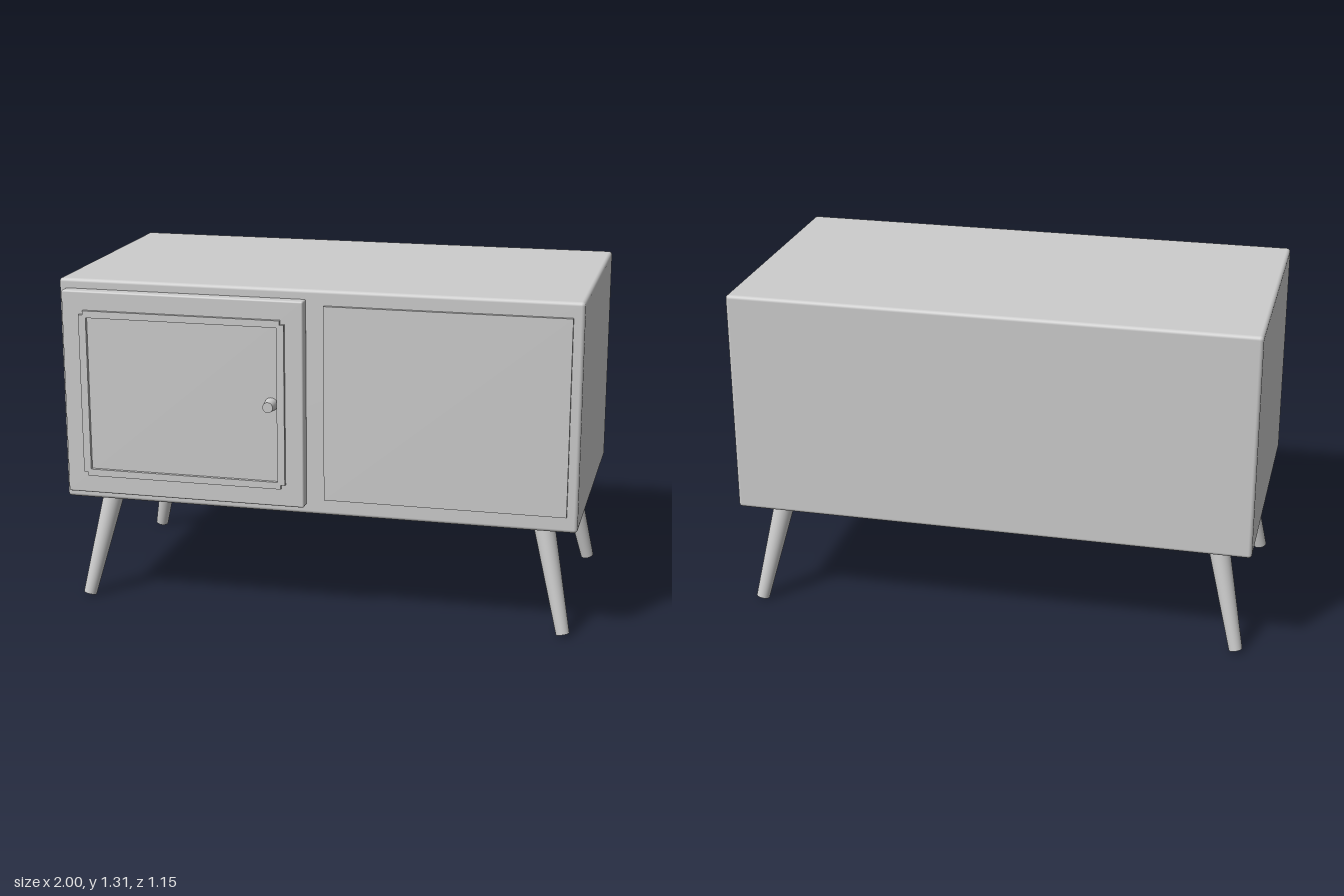
import * as THREE from 'three';
import { RoundedBoxGeometry } from 'three/addons/geometries/RoundedBoxGeometry.js';

export function createModel() {
  const group = new THREE.Group();
  group.name = 'cabinet';
  const grey = new THREE.MeshStandardMaterial({ color: 0xcccccc });
  grey.name = 'plainGrey';

  const add = (name, geometry) => {
    const mesh = new THREE.Mesh(geometry, grey);
    mesh.name = name;
    group.add(mesh);
    return mesh;
  };

  // Rounded box given by its lower and upper corners
  const box = (name, [x0, y0, z0], [x1, y1, z1], radius) =>
    add(name, new RoundedBoxGeometry(x1 - x0, y1 - y0, z1 - z0, 3, radius))
      .position.set((x0 + x1) / 2, (y0 + y1) / 2, (z0 + z1) / 2);

  box('body', [-1, 0.437, -0.572], [1, 1.309, 0.476], 0.014);
  box('door', [-0.975, 0.475, 0.472], [-0.03, 1.272, 0.523], 0.007);

  // Thin fixed panel on the left half
  const panel = add('sidePanel', new THREE.BoxGeometry(0.92, 0.75, 0.02));
  panel.position.set(0.5, 0.876, 0.48);

  // Door moulding: a flat ring with stepped outer corners
  const w = 0.402, h = 0.326, n = 0.016;
  const ring = new THREE.Shape([
    [-w, -h + n], [-w + n, -h + n], [-w + n, -h], [w - n, -h],
    [w - n, -h + n], [w, -h + n], [w, h - n], [w - n, h - n],
    [w - n, h], [-w + n, h], [-w + n, h - n], [-w, h - n],
  ].map(([x, y]) => new THREE.Vector2(x, y)));
  const iw = 0.373, ih = 0.299;
  ring.holes.push(new THREE.Path([
    [-iw, -ih], [-iw, ih], [iw, ih], [iw, -ih],
  ].map(([x, y]) => new THREE.Vector2(x, y))));
  add('doorMoulding', new THREE.ExtrudeGeometry(ring, { depth: 0.016, bevelEnabled: false }))
    .position.set(-0.502, 0.873, 0.521);

  // Tapered knob
  const knob = add('doorKnob', new THREE.CylinderGeometry(0.02, 0.026, 0.055, 32));
  knob.rotation.x = Math.PI / 2;
  knob.position.set(-0.154, 0.875, 0.5465);

  // Splayed, tapered legs
  const up = new THREE.Vector3(0, 1, 0);
  for (const side of [-1, 1]) {
    for (const [end, topZ, footZ] of [['front', 0.326, 0.403], ['back', -0.419, -0.496]]) {
      const top = new THREE.Vector3(side * 0.852, 0.455, topZ);
      const foot = new THREE.Vector3(side * 0.952, 0.008, footZ);
      const axis = top.clone().sub(foot);
      const name = end + (side > 0 ? 'LeftLeg' : 'RightLeg');
      const leg = add(name, new THREE.CylinderGeometry(0.042, 0.026, axis.length(), 32));
      leg.quaternion.setFromUnitVectors(up, axis.normalize());
      leg.position.copy(top).add(foot).multiplyScalar(0.5);
    }
  }
  return group;
}
